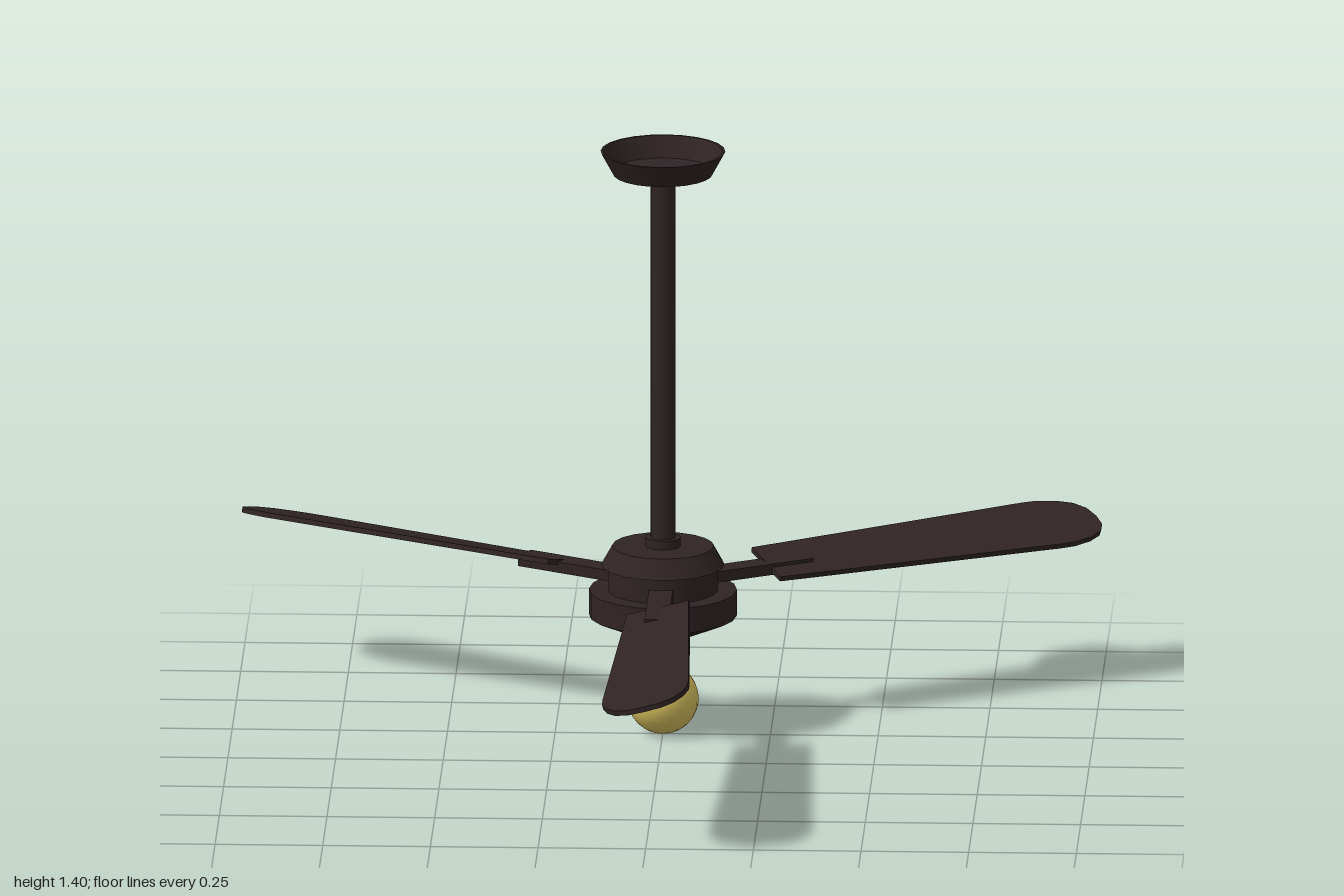
import * as THREE from 'three';
import { toCreasedNormals } from 'three/addons/utils/BufferGeometryUtils.js';

const bronze = new THREE.MeshStandardMaterial({ color: 0x302425 });
bronze.name = 'dark bronze';
const glass = new THREE.MeshStandardMaterial({ color: 0xdcc460 });
glass.name = 'warm bulb';

function add(parent, name, geometry, material) {
  const mesh = new THREE.Mesh(geometry, material);
  mesh.name = name;
  parent.add(mesh);
  return mesh;
}

// Turned part from [radius, height] pairs, listed bottom to top along the outside
function turned(points, sides) {
  const profile = points.map(([r, y]) => new THREE.Vector2(r, y));
  return toCreasedNormals(new THREE.LatheGeometry(profile, sides), 0.5);
}

function bladeGeometry() {
  const thickness = 0.012;
  const side = [[0.074, 0.27], [0.103, 0.99], [0.102, 1.03], [0.09, 1.075], [0.07, 1.11], [0.04, 1.13]];
  const outline = [...side, [0, 1.135], ...side.map(([x, r]) => [-x, r]).reverse()];
  const shape = new THREE.Shape(outline.map(([x, r]) => new THREE.Vector2(x, r)));
  const geometry = new THREE.ExtrudeGeometry(shape, { depth: thickness, bevelEnabled: false });
  geometry.rotateX(Math.PI / 2);
  geometry.translate(0, thickness / 2, 0);
  return geometry;
}

export function createModel() {
  const model = new THREE.Group();
  model.name = 'ceilingFan';
  const fan = new THREE.Group();
  fan.name = 'fan';
  fan.position.z = -0.26;
  model.add(fan);

  // Ceiling canopy: a shallow cup open at the top
  add(fan, 'canopy', turned([
    [0, 1.345], [0.115, 1.345], [0.145, 1.4], [0.139, 1.4], [0.117, 1.351], [0, 1.351],
  ], 24), bronze);

  // Down rod with a collar at each end
  const rod = add(fan, 'downRod', new THREE.CylinderGeometry(0.029, 0.029, 0.9, 16), bronze);
  rod.position.y = 0.895;
  for (const [name, y] of [['upperCollar', 1.338], ['lowerCollar', 0.459]]) {
    add(fan, name, new THREE.CylinderGeometry(0.041, 0.041, 0.024, 16), bronze).position.y = y;
  }

  // Motor housing: tapered base, wide drum, waist and flared cap
  add(fan, 'motorHousing', turned([
    [0, 0.246], [0.085, 0.246], [0.172, 0.284], [0.172, 0.345], [0.128, 0.345],
    [0.128, 0.405], [0.143, 0.405], [0.118, 0.45], [0, 0.45],
  ], 20), bronze);

  // Lamp socket and bulb
  add(fan, 'lampSocket', new THREE.CylinderGeometry(0.049, 0.049, 0.036, 16), bronze).position.y = 0.232;
  const bulbProfile = [];
  for (let i = 0; i <= 12; i++) {
    const a = -Math.PI / 2 + (i / 12) * Math.PI * 0.78;
    bulbProfile.push([Math.max(0, 0.083 * Math.cos(a)), 0.083 + 0.083 * Math.sin(a)]);
  }
  bulbProfile.push([0.043, 0.175], [0.038, 0.195], [0.036, 0.22]);
  add(fan, 'bulb', turned(bulbProfile, 24), glass);

  // Three pitched blades, each carried by a flat arm
  const blade = bladeGeometry();
  const arm = new THREE.BoxGeometry(0.056, 0.026, 0.28);
  for (let i = 0; i < 3; i++) {
    const unit = new THREE.Group();
    unit.name = 'bladeUnit' + (i + 1);
    unit.position.y = 0.37;
    unit.rotation.y = (i * Math.PI * 2) / 3;
    add(unit, 'bladeArm', arm, bronze).position.set(0, -0.006, 0.24);
    add(unit, 'blade', blade, bronze).rotation.z = 0.245;
    fan.add(unit);
  }
  return model;
}
